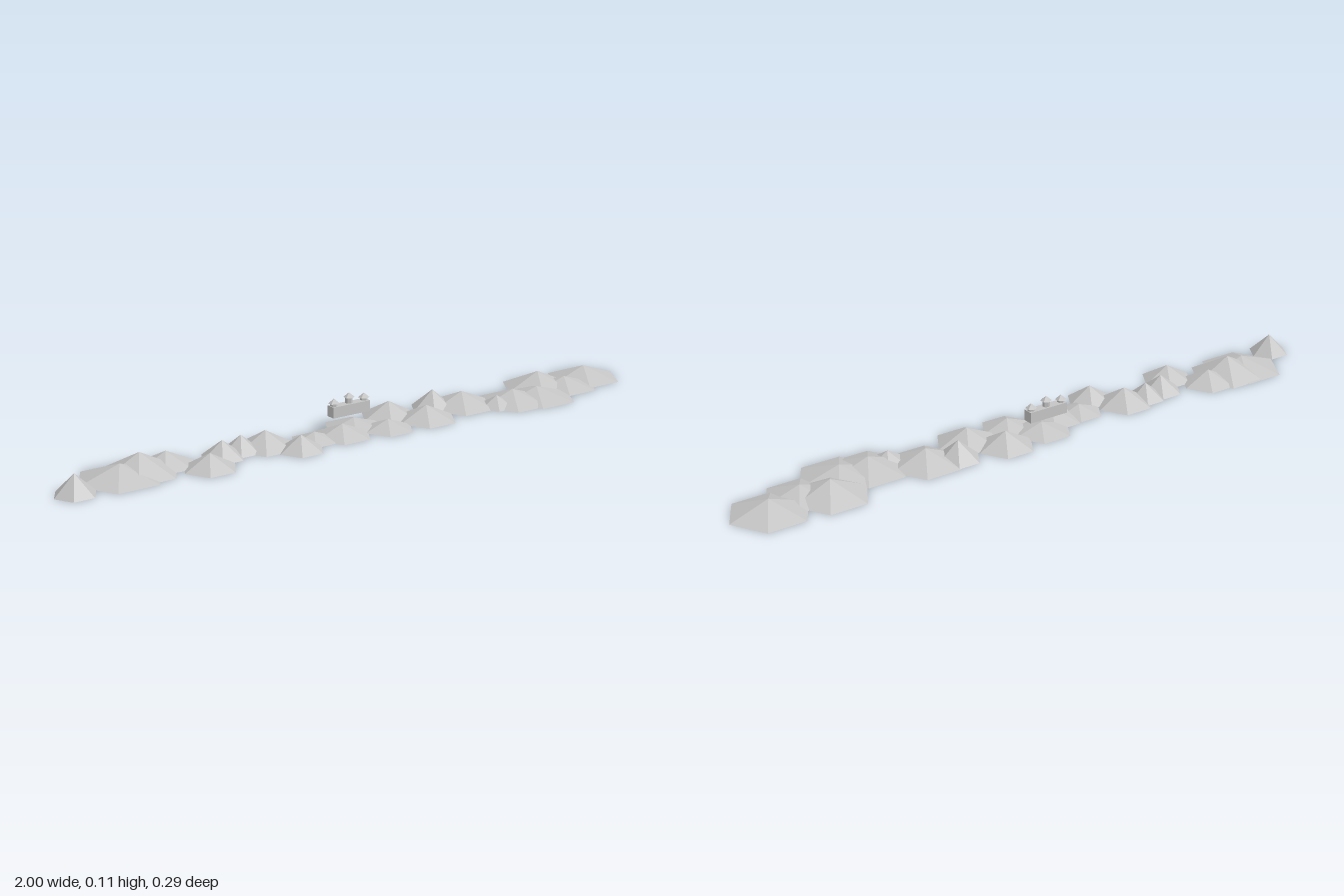
import * as THREE from 'three';

export function createModel() {
  const root = new THREE.Group();
  const stone = new THREE.MeshStandardMaterial({ color: 0xc4c4c4 });
  stone.name = 'pale stone';

  const add = (parent, name, geometry, x, y, z) => {
    const flat = geometry.toNonIndexed();
    flat.computeVertexNormals();
    const mesh = new THREE.Mesh(flat, stone);
    mesh.name = name;
    mesh.position.set(x, y, z);
    parent.add(mesh);
    return mesh;
  };

  // Mountain range: six-sided peaks as [x, z, radius, height]
  const peaks = [
    [-0.938, 0.01, 0.062, 0.06], [-0.78, -0.037, 0.127, 0.042],
    [-0.715, -0.045, 0.115, 0.06], [-0.625, -0.06, 0.085, 0.042],
    [-0.54, 0.035, 0.08, 0.045], [-0.465, -0.025, 0.067, 0.052],
    [-0.395, -0.04, 0.06, 0.05], [-0.318, -0.033, 0.088, 0.051],
    [-0.25, 0.048, 0.07, 0.046], [-0.17, -0.005, 0.073, 0.026],
    [-0.08, 0.005, 0.09, 0.036], [-0.005, -0.045, 0.092, 0.028],
    [0.065, 0.03, 0.08, 0.03], [0.138, -0.068, 0.088, 0.047],
    [0.212, 0.02, 0.095, 0.044], [0.295, -0.06, 0.068, 0.058],
    [0.382, -0.028, 0.11, 0.045], [0.465, 0.04, 0.06, 0.034],
    [0.535, 0.03, 0.118, 0.04], [0.622, 0.04, 0.123, 0.036],
    [0.7, -0.048, 0.115, 0.05], [0.768, 0, 0.105, 0.034],
    [0.882, -0.038, 0.118, 0.041],
  ];
  const range = new THREE.Group();
  range.name = 'mountainRange';
  root.add(range);
  peaks.forEach(([x, z, r, h], i) => {
    const cone = new THREE.ConeGeometry(r, h, 6).rotateY(Math.PI / 2);
    add(range, `mountain${i + 1}`, cone, x, h / 2, z);
  });

  // Fortress on the central ridge: a long hall with three roofed towers
  const fortress = new THREE.Group();
  fortress.name = 'fortress';
  fortress.position.set(-0.02, 0.042, -0.047);
  root.add(fortress);
  add(fortress, 'hall', new THREE.BoxGeometry(0.13, 0.033, 0.03), 0, 0.0165, 0);
  for (const [x, height] of [[-0.053, 0.041], [0, 0.051], [0.053, 0.041]]) {
    const tower = new THREE.Group();
    tower.name = 'tower';
    tower.position.x = x;
    fortress.add(tower);
    add(tower, 'towerShaft', new THREE.CylinderGeometry(0.011, 0.011, height, 6), 0, height / 2, 0);
    add(tower, 'towerRoof', new THREE.ConeGeometry(0.017, 0.014, 6), 0, height + 0.007, 0);
  }
  return root;
}
